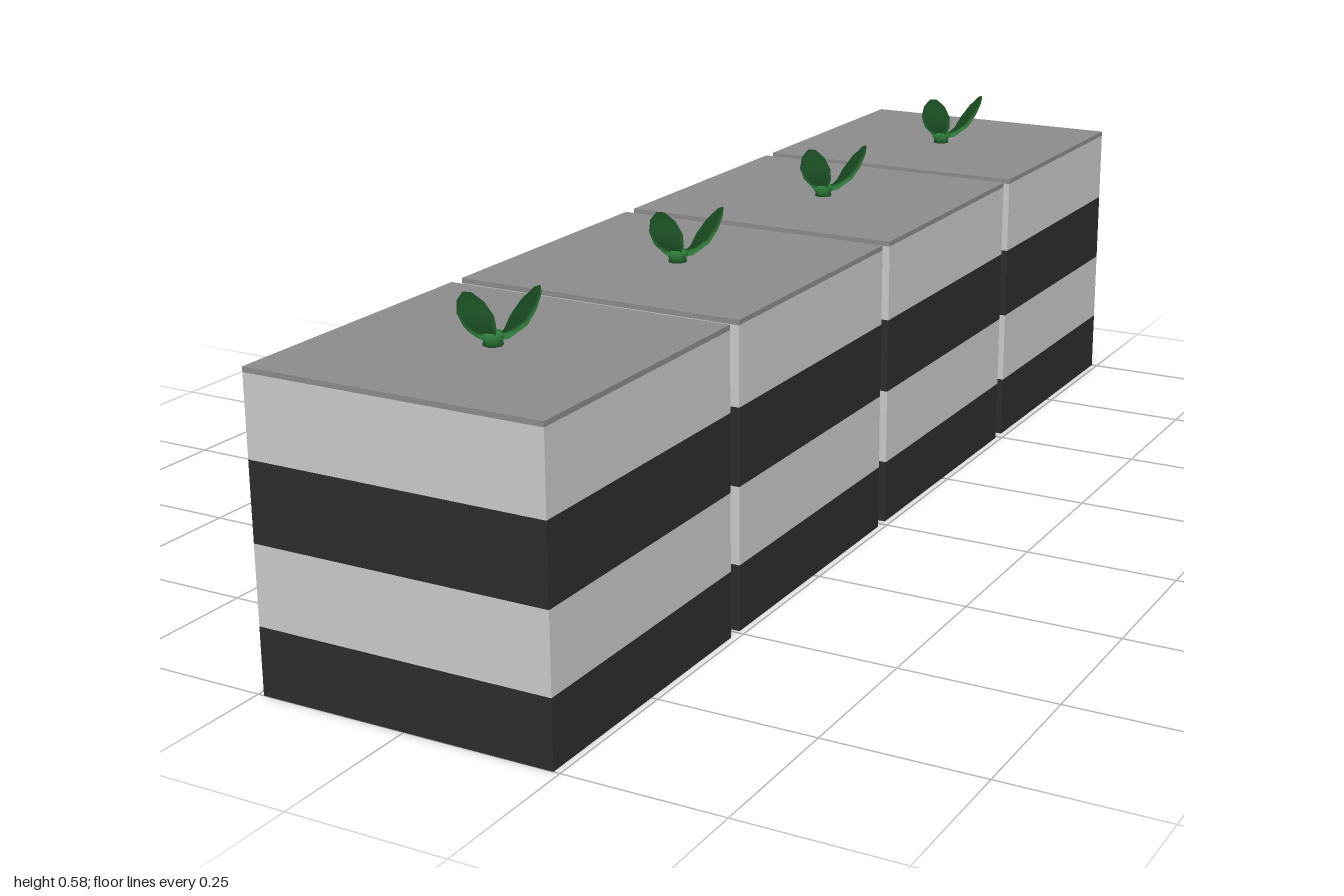
import * as THREE from 'three';

const mat = (color, extra = {}) => new THREE.MeshStandardMaterial({ color, ...extra });
const dark = mat(0x2e2d2e);
const light = mat(0xcccccc);
const lid = mat(0x8c8c8c);
const green = mat(0x2f7d3c);

const SIZE = 0.48;

function add(parent, name, geometry, material, y = 0) {
  const mesh = new THREE.Mesh(geometry, material);
  mesh.name = name;
  mesh.position.y = y;
  parent.add(mesh);
  return mesh;
}

// Leaf growing along +x: elliptical sections [reach, height, half width, half thickness]
function leafGeometry() {
  const rings = [
    [0.004, 0.011, 0.007, 0.005],
    [0.028, 0.020, 0.015, 0.006],
    [0.048, 0.035, 0.024, 0.006],
    [0.064, 0.058, 0.027, 0.005],
    [0.078, 0.082, 0.020, 0.004],
    [0.087, 0.098, 0.007, 0.002],
  ];
  const sides = 8, pos = [], idx = [];
  rings.forEach(([x, y, w, t], i) => {
    const a = rings[Math.max(i - 1, 0)], b = rings[Math.min(i + 1, rings.length - 1)];
    const slope = Math.atan2(b[1] - a[1], b[0] - a[0]);
    for (let k = 0; k < sides; k++) {
      const u = (k / sides) * Math.PI * 2;
      // the rims cup slightly towards the inner face
      const n = Math.sin(u) * t + 0.004 * Math.cos(u) ** 2 * (w / 0.027);
      pos.push(x - Math.sin(slope) * n, y + Math.cos(slope) * n, Math.cos(u) * w);
    }
  });
  for (let i = 0; i < rings.length - 1; i++) {
    for (let k = 0; k < sides; k++) {
      const a = i * sides + k, b = i * sides + (k + 1) % sides;
      idx.push(a, a + sides, b, b, a + sides, b + sides);
    }
  }
  // end caps
  const last = (rings.length - 1) * sides;
  for (let k = 1; k < sides - 1; k++) {
    idx.push(0, k, k + 1, last, last + k + 1, last + k);
  }
  const g = new THREE.BufferGeometry();
  g.setAttribute('position', new THREE.Float32BufferAttribute(pos, 3));
  // wind the faces outwards
  for (let i = 0; i < idx.length; i += 3) [idx[i + 1], idx[i + 2]] = [idx[i + 2], idx[i + 1]];
  g.setIndex(idx);
  g.computeVertexNormals();
  return g;
}

// Short stem with two leaves
function createSprout() {
  const sprout = new THREE.Group();
  sprout.name = 'sprout';
  const profile = [[0, 0], [0.015, 0], [0.014, 0.007], [0.018, 0.012], [0.015, 0.019], [0, 0.022]];
  add(sprout, 'stem', new THREE.LatheGeometry(profile.map(p => new THREE.Vector2(...p)), 8), green);
  const leaf = leafGeometry();
  [['sideLeaf', 0.17], ['frontLeaf', 1.34]].forEach(([name, angle]) => {
    add(sprout, name, leaf, green).rotation.y = -angle;
  });
  return sprout;
}

// Striped square block with a thin lid and a sprout
function createBlock() {
  const block = new THREE.Group();
  block.name = 'block';
  const layers = [
    ['lowerDarkLayer', 0, 0.105, dark],
    ['lowerLightLayer', 0.105, 0.228, light],
    ['upperDarkLayer', 0.228, 0.35, dark],
    ['upperLightLayer', 0.35, 0.474, light],
    ['lid', 0.474, 0.482, lid],
  ];
  for (const [name, y0, y1, material] of layers) {
    add(block, name, new THREE.BoxGeometry(SIZE, y1 - y0, SIZE), material, (y0 + y1) / 2);
  }
  const sprout = createSprout();
  sprout.position.y = 0.482;
  block.add(sprout);
  return block;
}

export function createModel() {
  const model = new THREE.Group();
  model.name = 'planterRow';
  // four blocks in a row along z
  for (let i = 0; i < 4; i++) {
    const block = createBlock();
    block.position.z = (i - 1.5) * (2 - SIZE) / 3;
    model.add(block);
  }
  return model;
}
